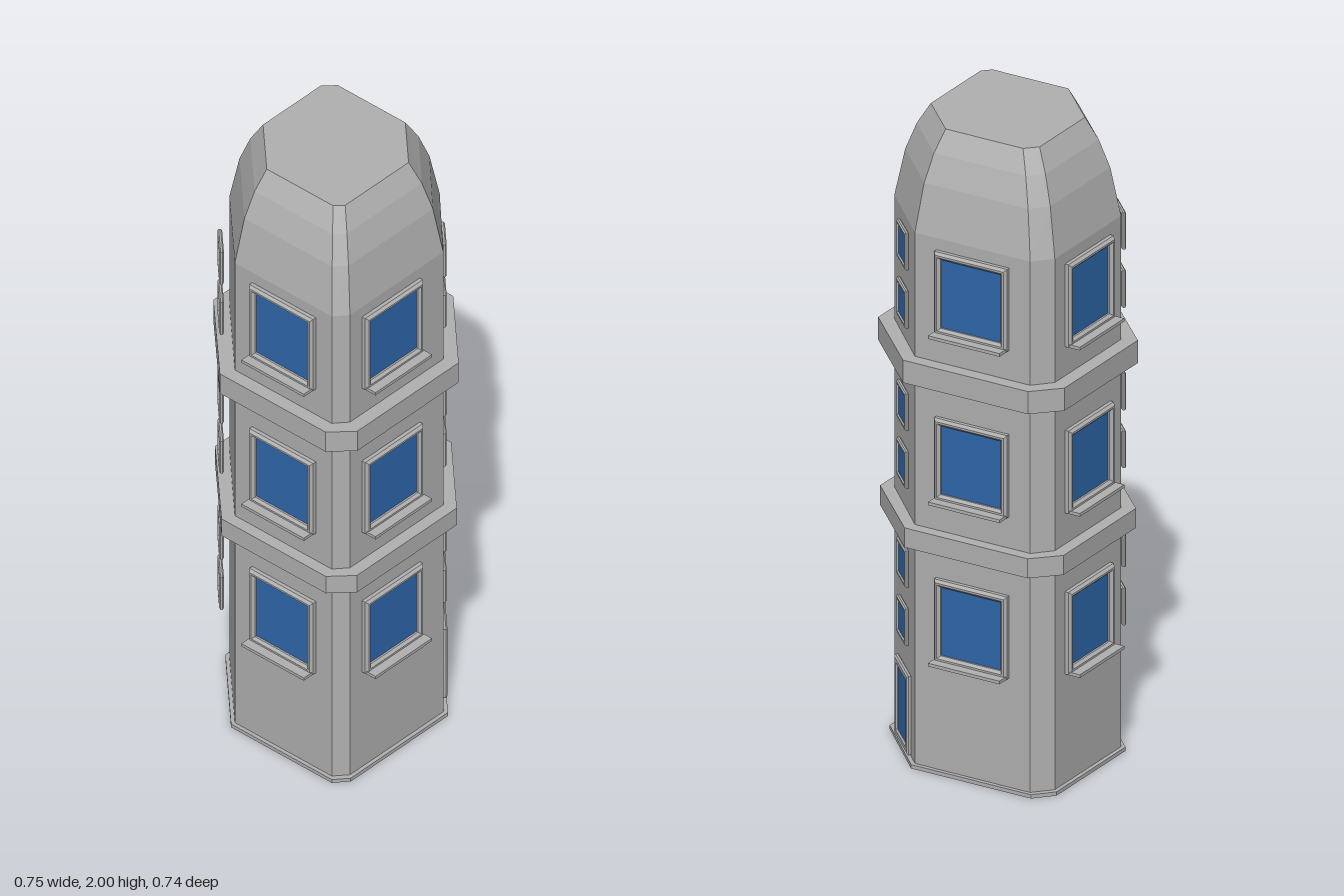
import * as THREE from 'three';

const stone = new THREE.MeshStandardMaterial({ color: 0xb0b0b0 });
stone.name = 'grey stone';
const glass = new THREE.MeshStandardMaterial({ color: 0x2f68ac });
glass.name = 'blue glass';

// Plan outlines as [x, z], clockwise seen from above
const WALL = [[-0.09, -0.32], [0.275, -0.32], [0.33, -0.27], [0.33, 0.125],
  [0.13, 0.32], [-0.275, 0.32], [-0.315, 0.285], [-0.315, -0.095]];
const ROOF = [[-0.06, -0.215], [0.19, -0.215], [0.225, -0.18], [0.225, 0.085],
  [0.09, 0.22], [-0.185, 0.22], [-0.21, 0.195], [-0.21, -0.065]];
const BAND = [[-0.11, -0.365], [0.295, -0.365], [0.372, -0.288], [0.372, 0.14],
  [0.147, 0.365], [-0.293, 0.365], [-0.358, 0.3], [-0.358, -0.115]];

const blend = (a, b, t) => a.map(([x, z], i) => [x + (b[i][0] - x) * t, z + (b[i][1] - z) * t]);
const scaled = (a, s) => a.map(([x, z]) => [x * s, z * s]);

// Closed, flat-shaded solid through a stack of [outline, y] sections
function loft(sections) {
  const p = [];
  const n = sections[0][0].length;
  const at = (s, i) => [sections[s][0][i % n][0], sections[s][1], sections[s][0][i % n][1]];
  const tri = (a, b, c) => p.push(...a, ...b, ...c);
  const last = sections.length - 1;
  for (let s = 0; s < last; s++) {
    for (let i = 0; i < n; i++) {
      tri(at(s, i + 1), at(s, i), at(s + 1, i));
      tri(at(s, i + 1), at(s + 1, i), at(s + 1, i + 1));
    }
  }
  for (let i = 1; i < n - 1; i++) {
    tri(at(0, 0), at(0, i), at(0, i + 1));
    tri(at(last, 0), at(last, i + 1), at(last, i));
  }
  const g = new THREE.BufferGeometry();
  g.setAttribute('position', new THREE.Float32BufferAttribute(p, 3));
  g.computeVertexNormals();
  return g;
}

function addMesh(parent, name, geometry, material, x = 0, y = 0, z = 0) {
  const m = new THREE.Mesh(geometry, material);
  m.name = name;
  m.position.set(x, y, z);
  parent.add(m);
  return m;
}

function rect(path, w, h) {
  path.moveTo(-w / 2, -h / 2);
  path.lineTo(w / 2, -h / 2);
  path.lineTo(w / 2, h / 2);
  path.lineTo(-w / 2, h / 2);
  path.closePath();
  return path;
}

// Bevelled frame with a glass pane, built facing +z with its back at z = 0
function framedPane(name, w, h, paneW, paneH, depth) {
  const g = new THREE.Group();
  g.name = name;
  const b = depth * 0.4;
  const shape = rect(new THREE.Shape(), w - 2 * b, h - 2 * b);
  shape.holes.push(rect(new THREE.Path(), paneW + 2 * b, paneH + 2 * b));
  const frame = new THREE.ExtrudeGeometry(shape, {
    depth: depth - b, bevelEnabled: true, bevelThickness: b, bevelSize: b, bevelSegments: 1,
  });
  addMesh(g, 'frame', frame, stone);
  addMesh(g, 'pane', new THREE.BoxGeometry(paneW + b, paneH + b, 0.006), glass, 0, 0, 0.003);
  return g;
}

function place(parent, part, x, y, z, angle) {
  part.position.set(x, y, z);
  part.rotation.y = angle;
  parent.add(part);
}

export function createModel() {
  const tower = new THREE.Group();
  tower.name = 'tower';

  // Walls and curved dome
  addMesh(tower, 'towerBody', loft([
    [WALL, 0], [WALL, 1.7], [blend(WALL, ROOF, 0.3), 1.85],
    [blend(WALL, ROOF, 0.62), 1.935], [ROOF, 2],
  ]), stone);

  // Base lip and floor bands
  addMesh(tower, 'baseLip', loft([[scaled(WALL, 1.04), 0], [scaled(WALL, 1.04), 0.012]]), stone);
  const low = scaled(BAND, 0.985);
  addMesh(tower, 'lowerBand', loft([[low, 0.71], [low, 0.772]]), stone);
  addMesh(tower, 'upperBand', loft([[BAND, 1.235], [BAND, 1.307]]), stone);

  // Large windows with sills on the four main walls
  const walls = [
    ['front', -0.097, 0.32, 0], ['left', 0.33, -0.073, Math.PI / 2],
    ['back', 0.095, -0.32, Math.PI], ['right', -0.315, 0.098, -Math.PI / 2],
  ];
  for (const y of [0.49, 1.003, 1.532]) {
    for (const [side, x, z, angle] of walls) {
      const win = framedPane(side + 'Window', 0.25, 0.262, 0.206, 0.218, 0.02);
      addMesh(win, 'sill', new THREE.BoxGeometry(0.245, 0.01, 0.05), stone, 0, -0.128, 0.025);
      place(tower, win, x, y, z, angle);
    }
  }

  // Paired small windows on the two wide corner faces
  for (const y of [0.408, 0.593, 0.908, 1.092, 1.418, 1.603]) {
    place(tower, framedPane('cornerWindow', 0.112, 0.118, 0.086, 0.092, 0.01),
      0.231, y, 0.225, Math.PI / 4);
    place(tower, framedPane('rearCornerWindow', 0.112, 0.118, 0.086, 0.092, 0.01),
      -0.225, y, -0.228, -Math.PI * 0.75);
  }

  // Door
  place(tower, framedPane('door', 0.168, 0.25, 0.118, 0.205, 0.012), 0.235, 0.142, 0.22, Math.PI / 4);

  return tower;
}
